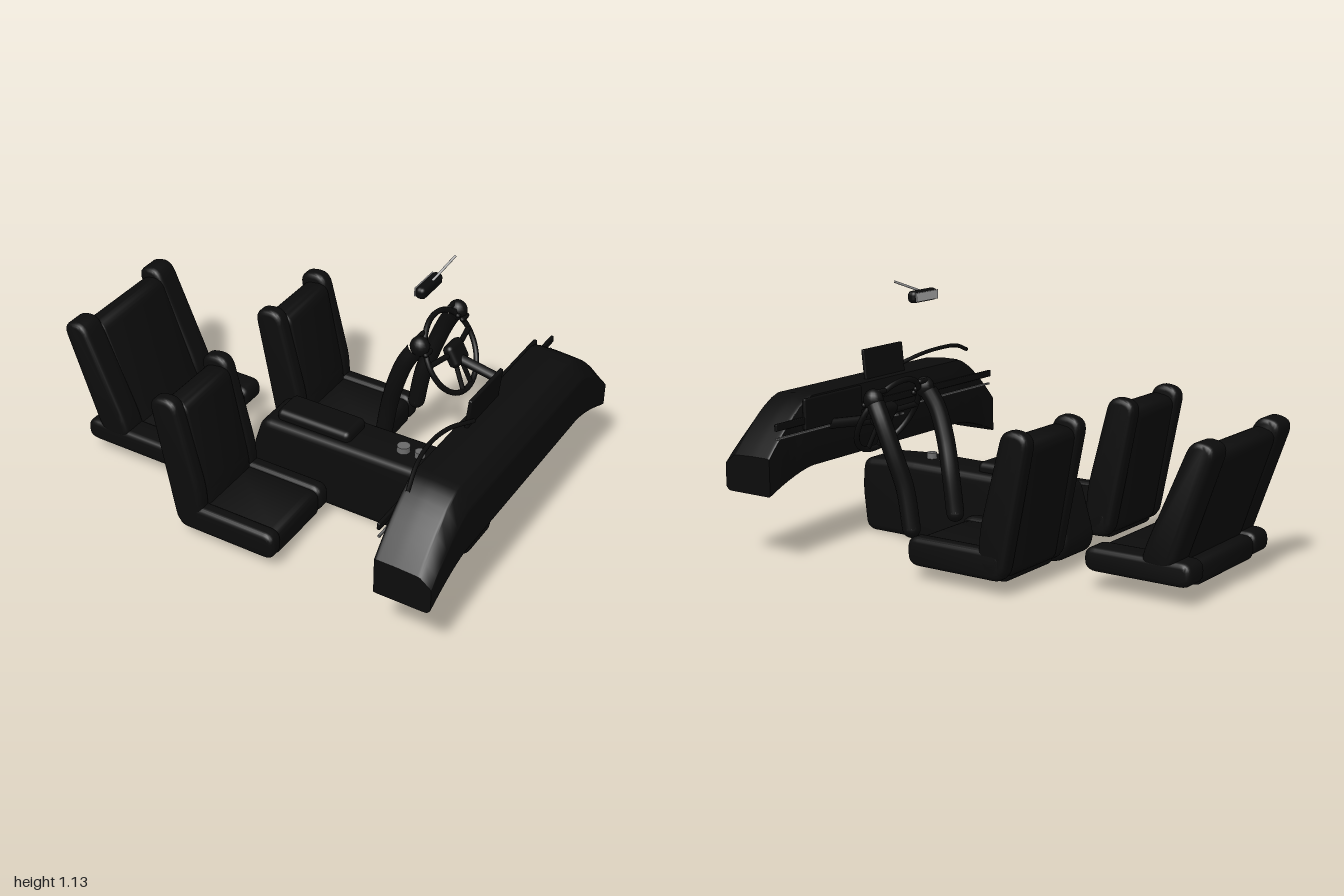
import * as THREE from 'three';
import { toCreasedNormals } from 'three/addons/utils/BufferGeometryUtils.js';
import { RoundedBoxGeometry } from 'three/addons/geometries/RoundedBoxGeometry.js';

const material = (name, color) => {
  const m = new THREE.MeshStandardMaterial({ color });
  m.name = name;
  return m;
};
const black = material('black upholstery', 0x0c0c0c);
const grey = material('grey trim', 0x6a6a6a);
const silver = material('silver', 0xb4b4b4);

function add(parent, name, geometry, mat, x = 0, y = 0, z = 0) {
  const mesh = new THREE.Mesh(geometry, mat);
  mesh.name = name;
  mesh.position.set(x, y, z);
  parent.add(mesh);
  return mesh;
}

const box = (w, h, d, r) => new RoundedBoxGeometry(w, h, d, 3, r);

// Closed xy outline with rounded corners
function roundedShape(points, radius) {
  const p = points.map(([x, y]) => new THREE.Vector2(x, y));
  const shape = new THREE.Shape();
  p.forEach((c, i) => {
    const toward = (q) => {
      const d = q.clone().sub(c);
      return c.clone().addScaledVector(d.normalize(), Math.min(radius, q.distanceTo(c) * 0.45));
    };
    const a = toward(p[(i + p.length - 1) % p.length]);
    const b = toward(p[(i + 1) % p.length]);
    if (i === 0) shape.moveTo(a.x, a.y);
    else shape.lineTo(a.x, a.y);
    shape.quadraticCurveTo(c.x, c.y, b.x, b.y);
  });
  shape.closePath();
  return shape;
}

// Padded slab: rounded side outline extruded along z, centred on z = 0
function pad(points, width, radius, bevel) {
  const g = new THREE.ExtrudeGeometry(roundedShape(points, radius), {
    depth: width - 2 * bevel, bevelThickness: bevel, bevelSize: bevel,
    bevelOffset: -bevel, bevelSegments: 4, curveSegments: 6,
  });
  g.translate(0, 0, bevel - width / 2);
  return toCreasedNormals(g, 0.7);
}

// Rod between two points
function rod(parent, name, a, b, r, mat) {
  const curve = new THREE.LineCurve3(new THREE.Vector3(...a), new THREE.Vector3(...b));
  return add(parent, name, new THREE.TubeGeometry(curve, 1, r, 10), mat);
}

// Seat with a centre panel and two raised side bolsters
function seat(name, z, width, bolster, cushion, back) {
  const g = new THREE.Group();
  g.name = name;
  g.position.z = z;
  const [x0, x1, y0, y1] = cushion;
  const inner = width - 2 * bolster + 0.02;
  const side = (width - bolster) / 2;
  const rect = (a, b, c, d) => [[a, c], [b, c], [b, d], [a, d]];
  add(g, 'cushion', pad(rect(x0 + 0.01, x1 - 0.01, y0, y1 - 0.012), inner, 0.04, 0.015), black);
  const lower = back.map(([x, y], i) => (i > 1 ? [x + (i === 2 ? 0.0 : 0.02), y - 0.035] : [x, y]));
  add(g, 'backrest', pad(lower, inner, 0.05, 0.015), black);
  for (const s of [-1, 1]) {
    add(g, 'cushionBolster', pad(rect(x0, x1, y0 + 0.015, y1), bolster, 0.05, 0.022), black, 0, 0, s * side);
    add(g, 'backBolster', pad(back, bolster, 0.06, 0.022), black, 0, 0, s * side);
  }
  return g;
}

// Dashboard: one section swept along z, drooping toward both ends
function dashboardGeometry() {
  const section = roundedShape([[0.762, 0], [0.985, 0], [1, 0.1], [1, 0.72], [0.95, 0.97], [0.85, 1], [0.762, 1]], 0.02)
    .getPoints(4).slice(0, -1);
  const n = section.length, rings = 40, pos = [], idx = [];
  for (let i = 0; i <= rings; i++) {
    const z = -0.77 + 1.54 * i / rings;
    const t = Math.max(0, (Math.abs(z) - 0.5) / 0.27);
    const top = 0.678 - 0.22 * t ** 1.4, bottom = 0.38 - 0.08 * t ** 1.5;
    for (const p of section) pos.push(p.x, bottom + p.y * (top - bottom), z);
  }
  for (let i = 0; i < rings; i++) {
    for (let j = 0; j < n; j++) {
      const a = i * n + j, b = i * n + (j + 1) % n;
      idx.push(a, b, a + n, b, b + n, a + n);
    }
  }
  const last = rings * n;
  for (let j = 1; j < n - 1; j++) {
    idx.push(0, j + 1, j, last, last + j, last + j + 1);
  }
  const g = new THREE.BufferGeometry();
  g.setAttribute('position', new THREE.Float32BufferAttribute(pos, 3));
  g.setIndex(idx);
  return toCreasedNormals(g, 0.6);
}

export function createModel() {
  const model = new THREE.Group();
  model.name = 'carInterior';

  // Seats
  const frontBack = [[-0.25, 0.07], [-0.13, 0.1], [-0.135, 0.26], [-0.245, 0.675], [-0.37, 0.655]];
  for (const s of [-1, 1]) {
    model.add(seat(s < 0 ? 'driverSeat' : 'passengerSeat', s * 0.382, 0.43, 0.07, [-0.25, 0.21, 0.055, 0.19], frontBack));
  }
  const rearBack = [[-0.83, 0.14], [-0.69, 0.15], [-0.705, 0.22], [-0.9, 0.665], [-1.01, 0.64]];
  model.add(seat('rearSeat', 0, 0.65, 0.12, [-0.91, -0.44, 0.075, 0.188], rearBack));

  // Centre console, armrest and knobs
  add(model, 'centreConsole', pad([[-0.2, 0.03], [-0.1, 0.01], [0.82, 0.01], [0.842, 0.2], [0.83, 0.33],
    [0.6, 0.345], [-0.16, 0.335], [-0.23, 0.1]], 0.22, 0.045, 0.03), black);
  add(model, 'armrest', box(0.35, 0.06, 0.15, 0.025), black, 0.07, 0.352, 0);
  add(model, 'largeKnob', new THREE.CylinderGeometry(0.027, 0.029, 0.04, 24), grey, 0.46, 0.35, 0);
  add(model, 'smallKnob', new THREE.CylinderGeometry(0.021, 0.023, 0.04, 24), grey, 0.535, 0.35, 0);

  // Dashboard and its fittings
  const dash = new THREE.Group();
  dash.name = 'dashboardAssembly';
  model.add(dash);
  add(dash, 'dashboard', dashboardGeometry(), black);
  add(dash, 'ventBar', box(0.014, 0.03, 1.47, 0.004), black, 0.756, 0.58, 0);
  add(dash, 'trimStrip', new THREE.BoxGeometry(0.009, 0.008, 1.46), grey, 0.757, 0.532, 0);
  add(dash, 'instrumentPanel', box(0.018, 0.13, 0.36, 0.006), black, 0.754, 0.605, -0.385);
  for (let i = 0; i < 5; i++) {
    add(dash, 'button', new THREE.BoxGeometry(0.008, 0.01, 0.02), grey, 0.757, 0.5, -0.08 + i * 0.04);
  }
  const screen = add(dash, 'screen', box(0.016, 0.15, 0.265, 0.005), black, 0.807, 0.73, 0.017);
  screen.rotation.z = -0.1;
  const arc = new THREE.CatmullRomCurve3([[0.82, 0.7, 0.64], [0.79, 0.737, 0.52], [0.775, 0.747, 0.39],
    [0.785, 0.737, 0.26], [0.82, 0.7, 0.12]].map((p) => new THREE.Vector3(...p)));
  add(dash, 'dashArc', new THREE.TubeGeometry(arc, 24, 0.009, 8), black);

  // Steering wheel: plane is local yz
  const wheel = new THREE.Group();
  wheel.name = 'steeringWheel';
  wheel.position.set(0.46, 0.61, -0.385);
  wheel.rotation.z = 0.51;
  model.add(wheel);
  add(wheel, 'rim', new THREE.TorusGeometry(0.174, 0.012, 10, 48), black).rotation.y = Math.PI / 2;
  add(wheel, 'hub', box(0.05, 0.1, 0.11, 0.02), black, 0.02, -0.01, 0);
  for (const s of [-1, 1]) {
    rod(wheel, 'sideSpoke', [0.015, 0, s * 0.04], [0, 0.02, s * 0.174], 0.012, black);
    rod(wheel, 'lowerSpoke', [0.015, -0.03, s * 0.02], [0, -0.17, s * 0.035], 0.01, black);
  }
  rod(model, 'steeringColumn', [0.47, 0.595, -0.385], [0.77, 0.535, -0.385], 0.022, black);

  // Forearms and hands on the wheel
  for (const s of [-1, 1]) {
    const arm = new THREE.Group();
    arm.name = s < 0 ? 'leftArm' : 'rightArm';
    arm.position.z = -0.385;
    model.add(arm);
    const path = new THREE.CatmullRomCurve3([[0.235, 0.2, 0.145], [0.26, 0.36, 0.15], [0.3, 0.5, 0.17],
      [0.345, 0.62, 0.178], [0.385, 0.69, 0.17]].map(([x, y, z]) => new THREE.Vector3(x, y, s * z)));
    add(arm, 'forearm', new THREE.TubeGeometry(path, 24, 0.037, 14), black);
    add(arm, 'elbow', new THREE.SphereGeometry(0.037, 14, 10), black, 0.235, 0.2, s * 0.145);
    const hand = add(arm, 'hand', new THREE.SphereGeometry(0.042, 16, 12), black, 0.4, 0.705, s * 0.165);
    hand.scale.set(1, 1.05, 0.9);
    for (let i = 0; i < 4; i++) {
      const finger = add(arm, 'finger', new THREE.CapsuleGeometry(0.011, 0.04, 4, 8), black,
        0.385 + i * 0.017, 0.735 - i * 0.018, s * (0.135 + i * 0.008));
      finger.rotation.x = Math.PI / 2;
    }
  }

  // Rear-view mirror
  add(model, 'mirrorHousing', box(0.045, 0.05, 0.16, 0.018), black, 0.478, 1.065, -0.125);
  add(model, 'mirrorGlass', box(0.006, 0.038, 0.146, 0.002), silver, 0.455, 1.065, -0.125);
  rod(model, 'mirrorStem', [0.485, 1.08, -0.12], [0.513, 1.136, -0.27], 0.005, silver);

  return model;
}
